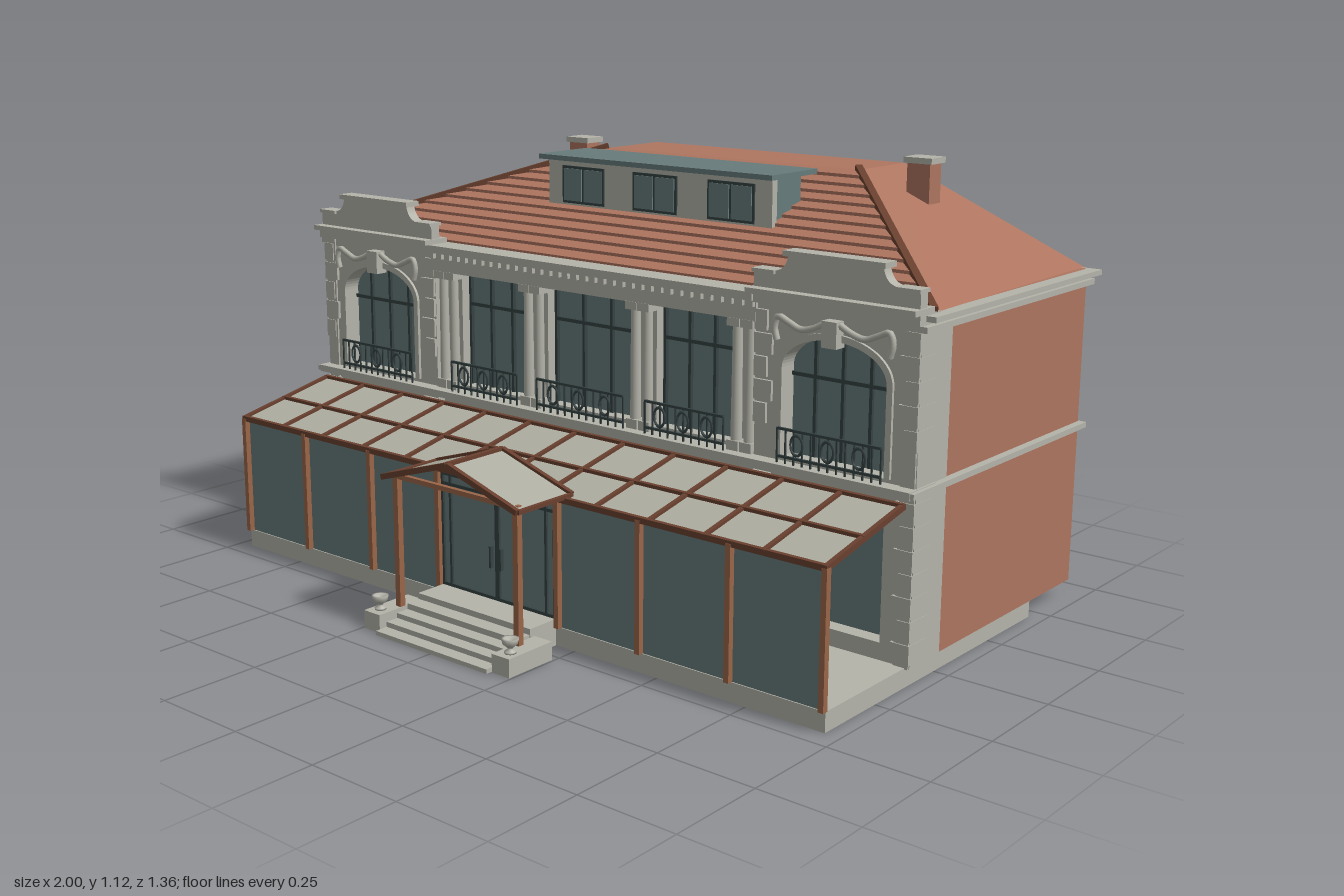
import * as THREE from 'three';

export function createModel() {
  const root = new THREE.Group();
  root.name = 'house';
  const mat = (name, color, extra = {}) => Object.assign(new THREE.MeshStandardMaterial({ color, ...extra }), { name });
  const stone = mat('stone', 0xb4b4aa);
  const brick = mat('brick', 0xae7560, { side: THREE.DoubleSide });
  const glass = mat('glass', 0x677b7b, { side: THREE.DoubleSide });
  const panel = mat('canopy panel', 0xaeaea2, { side: THREE.DoubleSide });
  const wood = mat('wood', 0x9a6548);
  const darkWood = mat('dark wood', 0x6a402f);
  const iron = mat('iron', 0x364243);

  const add = (name, geo, m) => {
    const mesh = new THREE.Mesh(geo, m);
    mesh.name = name;
    root.add(mesh);
    return mesh;
  };
  // box given by its ranges
  const box = (name, m, x0, x1, y0, y1, z0, z1) => {
    const mesh = add(name, new THREE.BoxGeometry(Math.abs(x1 - x0), y1 - y0, z1 - z0), m);
    mesh.position.set((x0 + x1) / 2, (y0 + y1) / 2, (z0 + z1) / 2);
    return mesh;
  };
  const pair = (name, m, x0, x1, ...r) => [-1, 1].forEach(s => box(name, m, s * x0, s * x1, ...r));
  // straight bar between two points
  const beam = (name, m, a, b, w, h) => {
    const A = new THREE.Vector3(...a), B = new THREE.Vector3(...b);
    const mesh = add(name, new THREE.BoxGeometry(w, h, A.distanceTo(B)), m);
    mesh.position.copy(A).add(B).multiplyScalar(0.5);
    mesh.lookAt(B);
  };
  const extrude = (name, m, shape, z0, z1) => {
    const geo = new THREE.ExtrudeGeometry(shape, { depth: z1 - z0, bevelEnabled: false, curveSegments: 16 });
    add(name, geo, m).position.z = z0;
  };
  // open surface made of four-cornered faces
  const sheet = (name, m, quads) => {
    const pos = quads.flatMap(([a, b, c, d]) => [a, b, c, a, c, d].flat());
    const geo = new THREE.BufferGeometry();
    geo.setAttribute('position', new THREE.Float32BufferAttribute(pos, 3));
    geo.computeVertexNormals();
    add(name, geo, m);
  };
  const rect = (S, x0, x1, y0, y1) => {
    const s = new S();
    s.moveTo(x0, y0); s.lineTo(x1, y0); s.lineTo(x1, y1); s.lineTo(x0, y1); s.closePath();
    return s;
  };
  const arch = (S, cx, r, y0, y1, rise) => {
    const s = new S();
    s.moveTo(cx - r, y0); s.lineTo(cx + r, y0); s.lineTo(cx + r, y1);
    s.absellipse(cx, y1, r, rise, 0, Math.PI, false); s.closePath();
    return s;
  };

  // base slab, entrance platform and steps
  box('baseSlab', stone, -0.96, 0.96, 0, 0.048, -0.46, 0.445);
  box('entrancePlatform', stone, -0.19, 0.19, 0, 0.067, 0.12, 0.535);
  [[0.575, 0.052], [0.61, 0.037], [0.645, 0.024], [0.68, 0.011]].forEach(([z, y]) =>
    box('step', stone, -0.187, 0.187, 0, y, 0.44, z));
  pair('stepPedestal', stone, 0.19, 0.245, 0, 0.046, 0.52, 0.665);
  const urn = [[0, 0], [0.014, 0], [0.014, 0.005], [0.006, 0.01], [0.008, 0.015], [0.018, 0.023], [0.021, 0.036], [0.015, 0.036], [0, 0.028]];
  for (const s of [-1, 1]) {
    const u = add('urn', new THREE.LatheGeometry(urn.map(p => new THREE.Vector2(...p)), 16), stone);
    u.position.set(s * 0.22, 0.046, 0.634);
  }

  // side walls with stone returns, string courses and cornices
  pair('sideWall', brick, 0.95, 0.965, 0.045, 0.855, -0.66, -0.005);
  pair('stoneReturn', stone, 0.93, 0.968, 0.045, 0.85, -0.008, 0.13);
  pair('sideStringCourse', stone, 0.94, 0.985, 0.452, 0.466, -0.665, 0.16);
  pair('sideLowerCornice', stone, 0.95, 0.985, 0.818, 0.832, -0.665, 0.13);
  pair('sideUpperCornice', stone, 0.95, 1, 0.842, 0.855, -0.67, 0.12);

  // pavilion walls with arched upper windows
  const bays = [-0.335, 0, 0.335], bayHalf = [0.12, 0.145, 0.12];
  for (const s of [-1, 1]) {
    const cx = s * 0.75;
    const wall = rect(THREE.Shape, cx - 0.22, cx + 0.22, 0.045, 0.85);
    wall.holes.push(arch(THREE.Path, cx, 0.14, 0.478, 0.69, 0.08), rect(THREE.Path, cx - 0.14, cx + 0.14, 0.09, 0.39));
    extrude('pavilionWall', stone, wall, 0.05, 0.125);
    extrude('archedGlass', glass, arch(THREE.Shape, cx, 0.143, 0.476, 0.69, 0.083), 0.078, 0.084);
    box('lowerWindow', glass, cx - 0.143, cx + 0.143, 0.088, 0.392, 0.078, 0.084);
    // window bars
    for (const dx of [-0.075, 0, 0.075]) box('windowBar', iron, cx + dx - 0.004, cx + dx + 0.004, 0.48, 0.757, 0.084, 0.092);
    box('windowTransom', iron, cx - 0.14, cx + 0.14, 0.666, 0.675, 0.084, 0.092);
    // raised surround of the arch
    const ring = arch(THREE.Shape, cx, 0.155, 0.478, 0.69, 0.096);
    ring.holes.push(arch(THREE.Path, cx, 0.14, 0.479, 0.69, 0.08));
    extrude('archSurround', stone, ring, 0.125, 0.133);
    // keystone and draped hood mould
    box('keystone', stone, cx - 0.02, cx + 0.02, 0.757, 0.818, 0.12, 0.155);
    for (const t of [-1, 1]) {
      const pts = [[0.02, 0.81], [0.05, 0.795], [0.085, 0.787], [0.12, 0.8], [0.148, 0.81], [0.157, 0.785], [0.15, 0.755]];
      const curve = new THREE.CatmullRomCurve3(pts.map(([x, y]) => new THREE.Vector3(cx + t * x, y, 0.14)));
      add('hoodGarland', new THREE.TubeGeometry(curve, 24, 0.008, 6), stone);
    }
    // rusticated corner blocks
    for (let i = 0; i < 14; i++) {
      const y = 0.055 + i * 0.055, w = i % 2 ? 0.035 : 0.05;
      if (Math.abs(y - 0.455) < 0.04 || y > 0.8) continue;
      box('quoin', stone, s * 0.971, s * (0.971 - w), y, y + 0.048, 0.06, 0.133);
      box('quoin', stone, s * 0.531, s * (0.531 + w), y, y + 0.048, 0.12, 0.133);
    }
    // stepped parapet with caps
    const p = new THREE.Shape();
    p.moveTo(cx - 0.22, 0.85); p.lineTo(cx + 0.22, 0.85); p.lineTo(cx + 0.22, 0.908); p.lineTo(cx + 0.165, 0.912);
    p.quadraticCurveTo(cx + 0.13, 0.915, cx + 0.125, 0.955); p.lineTo(cx - 0.125, 0.955);
    p.quadraticCurveTo(cx - 0.13, 0.915, cx - 0.165, 0.912); p.lineTo(cx - 0.22, 0.908); p.closePath();
    extrude('parapet', stone, p, 0.108, 0.137);
    box('parapetCap', stone, cx - 0.135, cx + 0.135, 0.95, 0.963, 0.1, 0.146);
    for (const t of [-1, 1]) box('parapetShoulder', stone, cx + t * 0.16, cx + t * 0.222, 0.905, 0.914, 0.102, 0.144);
    box('pavilionCornice', stone, cx - 0.225, cx + 0.225, 0.858, 0.871, 0.085, 0.165);
    box('pavilionCornice', stone, cx - 0.225, cx + 0.225, 0.835, 0.858, 0.06, 0.145);
  }

  // recessed middle wall with three bays
  const middle = rect(THREE.Shape, -0.535, 0.535, 0.045, 0.85);
  bays.forEach((cx, i) => {
    const h = bayHalf[i];
    middle.holes.push(rect(THREE.Path, cx - h, cx + h, 0.478, 0.785), rect(THREE.Path, cx - h, cx + h, 0.07, 0.39));
    box('upperWindow', glass, cx - h, cx + h, 0.478, 0.785, 0.058, 0.064);
    box('lowerWindow', glass, cx - h, cx + h, 0.07, 0.39, 0.058, 0.064);
    for (const dx of [-1, -0.33, 0.33, 1]) box('windowBar', iron, cx + dx * (h - 0.004) - 0.004, cx + dx * (h - 0.004) + 0.004, 0.478, 0.785, 0.064, 0.074);
    box('windowTransom', iron, cx - h, cx + h, 0.694, 0.703, 0.064, 0.074);
  });
  extrude('middleWall', stone, middle, 0.025, 0.1);

  // columns on the piers
  for (const s of [-1, 1]) for (const x of [0.161, 0.199, 0.471, 0.509]) {
    const c = add('column', new THREE.CylinderGeometry(0.012, 0.014, 0.285, 12), stone);
    c.position.set(s * x, 0.633, 0.115);
    box('columnCapital', stone, s * x - 0.018, s * x + 0.018, 0.768, 0.788, 0.095, 0.135);
    box('columnBase', stone, s * x - 0.017, s * x + 0.017, 0.466, 0.492, 0.095, 0.132);
  }

  // entablature and string course
  box('entablature', stone, -0.535, 0.535, 0.787, 0.84, 0.08, 0.134);
  box('middleCornice', stone, -0.535, 0.535, 0.838, 0.858, 0.07, 0.152);
  for (let i = 0; i < 36; i++) {
    const x = -0.525 + i * 0.03;
    box('dentil', stone, x - 0.008, x + 0.008, 0.822, 0.838, 0.13, 0.145);
  }
  box('frontStringCourse', stone, -0.975, 0.975, 0.45, 0.468, 0.05, 0.162);

  // iron window railings
  [...bays, -0.75, 0.75].forEach((cx, i) => {
    const h = [...bayHalf, 0.14, 0.14][i], z = 0.145;
    for (const y of [0.484, 0.55]) box('railing', iron, cx - h, cx + h, y - 0.003, y + 0.003, z - 0.003, z + 0.003);
    const n = Math.round(h * 2 / 0.024);
    for (let k = 0; k <= n; k++) {
      const x = cx - h + k * 2 * h / n;
      box('railingBar', iron, x - 0.0018, x + 0.0018, 0.468, 0.55, z - 0.002, z + 0.002);
    }
    for (const dx of [-0.6, 0, 0.6]) {
      const r = add('railingRing', new THREE.TorusGeometry(0.017, 0.003, 5, 16), iron);
      r.position.set(cx + dx * h, 0.517, z + 0.003);
      r.scale.y = 1.4;
    }
  });

  // roof: tiled front slope, plain flanks and flat top
  const at = (side, t, lift) => [side * (0.97 - 0.55 * t), 0.855 + 0.22 * t + lift, 0.08 - 0.54 * t];
  const rows = 13, tiles = [];
  for (let i = 0; i < rows; i++) {
    const a = i / rows, b = (i + 1) / rows;
    tiles.push([at(-1, a, 0.009), at(1, a, 0.009), at(1, b, 0.001), at(-1, b, 0.001)]);
    tiles.push([at(-1, a, 0), at(1, a, 0), at(1, a, 0.009), at(-1, a, 0.009)]);
  }
  sheet('frontRoofTiles', brick, tiles);
  sheet('roofFlanks', brick, [
    [[0.97, 0.855, 0.08], [0.97, 0.845, -0.68], [0.42, 1.075, -0.68], [0.42, 1.075, -0.46]],
    [[-0.97, 0.845, -0.68], [-0.97, 0.855, 0.08], [-0.42, 1.075, -0.46], [-0.42, 1.075, -0.68]],
    [[-0.42, 1.075, -0.46], [0.42, 1.075, -0.46], [0.42, 1.075, -0.68], [-0.42, 1.075, -0.68]],
  ]);
  for (const s of [-1, 1]) beam('hipRidge', darkWood, at(s, 0, 0.006), at(s, 1, 0.006), 0.018, 0.016);

  // dormer with three windows
  box('dormerFront', stone, -0.37, 0.37, 0.945, 1.076, -0.175, -0.155);
  box('dormerBody', glass, -0.36, 0.36, 0.965, 1.076, -0.29, -0.175);
  box('dormerRoof', glass, -0.385, 0.385, 1.075, 1.088, -0.325, -0.13);
  for (const cx of [-0.245, 0, 0.245]) {
    box('dormerFrame', iron, cx - 0.073, cx + 0.073, 0.96, 1.06, -0.156, -0.151);
    for (const s of [-1, 1]) box('dormerPane', glass, cx + s * 0.004, cx + s * 0.066, 0.967, 1.053, -0.152, -0.148);
  }

  // chimneys
  [[0.575, -0.522, 1.1], [-0.555, -0.51, 1.08]].forEach(([x, z, y]) => {
    box('chimney', brick, x - 0.033, x + 0.033, 0.995, y, z - 0.027, z + 0.027);
    box('chimneyCap', stone, x - 0.041, x + 0.041, y, y + 0.015, z - 0.034, z + 0.034);
  });

  // glazed veranda: roof panels, ribs and purlins
  const slope = z => 0.432 - (z - 0.155) * 0.21;
  sheet('verandaRoof', panel, [[[-0.955, slope(0.455), 0.455], [0.955, slope(0.455), 0.455], [0.955, slope(0.155), 0.155], [-0.955, slope(0.155), 0.155]]]);
  for (let i = 0; i <= 12; i++) {
    const x = -0.955 + i * 1.91 / 12;
    beam('verandaRib', darkWood, [x, slope(0.155), 0.155], [x, slope(0.455), 0.455], 0.011, 0.014);
  }
  for (const z of [0.155, 0.31, 0.45]) box('verandaPurlin', darkWood, -0.96, 0.96, slope(z) - 0.007, slope(z) + 0.007, z - 0.006, z + 0.006);
  for (const x of [0.2, 0.45, 0.705, 0.955]) pair('verandaPost', wood, x - 0.007, x + 0.007, 0.048, 0.37, 0.441, 0.457);
  pair('verandaGlass', glass, 0.2, 0.95, 0.048, 0.365, 0.436, 0.442);

  // entrance doors
  box('doorGlass', glass, -0.195, 0.195, 0.067, 0.365, 0.436, 0.442);
  for (const x of [0.003, 0.16, 0.187]) pair('doorFrame', iron, x - 0.003, x + 0.004, 0.067, 0.36, 0.442, 0.448);
  for (const y of [0.067, 0.33, 0.355]) box('doorRail', iron, -0.19, 0.19, y, y + 0.008, 0.442, 0.448);
  pair('doorHandle', iron, 0.014, 0.02, 0.15, 0.205, 0.446, 0.456);

  // gabled porch
  const porch = z => [[-0.225, 0.378, z], [0, 0.448, z], [0.225, 0.378, z]];
  const [pa, pb] = [porch(0.61), porch(0.425)];
  sheet('porchRoof', panel, [[pa[0], pa[1], pb[1], pb[0]], [pa[1], pa[2], pb[2], pb[1]]]);
  for (const q of [pa, pb]) for (const i of [0, 1]) beam('porchGableEdge', darkWood, q[i], q[i + 1], 0.012, 0.014);
  beam('porchRidge', darkWood, pa[1], pb[1], 0.012, 0.014);
  for (const i of [0, 2]) beam('porchEave', darkWood, pa[i], pb[i], 0.01, 0.01);
  box('porchTie', wood, -0.21, 0.21, 0.374, 0.386, 0.58, 0.592);
  pair('porchPost', wood, 0.192, 0.208, 0.01, 0.382, 0.577, 0.593);

  return root;
}
